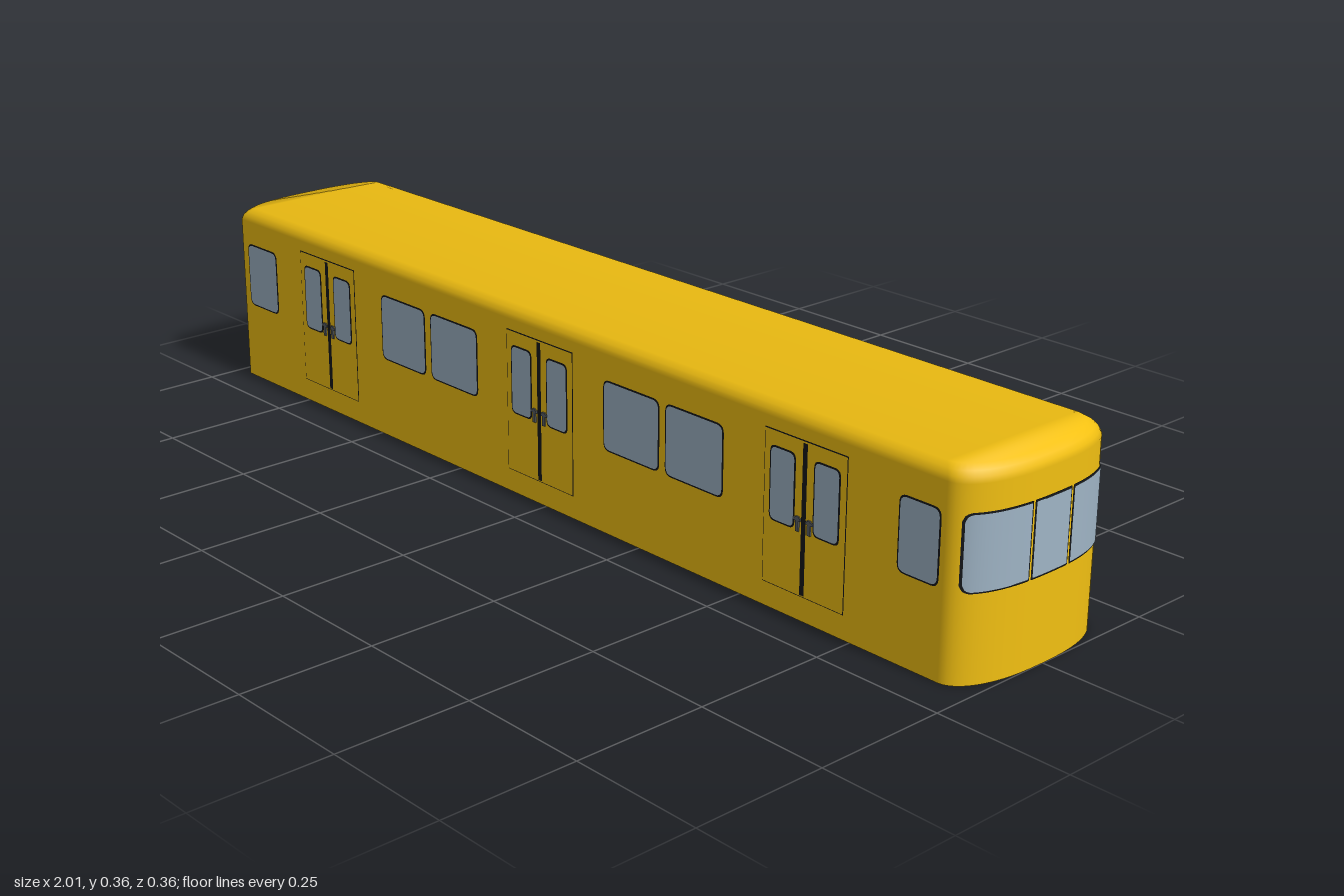
import * as THREE from 'three';

const W = 0.175;           // half width of the car body
const N = 28;              // segments round each end
const POW = 2.5;           // squareness of the end curve
const ENDS = [{ s: 1, d: 0.065 }, { s: -1, d: 0.035 }]; // side and depth of bulge

const mat = (color, side = THREE.FrontSide) =>
  new THREE.MeshStandardMaterial({ color, side });
const YELLOW = mat(0xf2c012), SHELL = mat(0xf2c012, THREE.DoubleSide);
const GLASS = mat(0x9fb4c5), BLACK = mat(0x15171a), STEEL = mat(0x5a6066), FLOOR = mat(0x666666);

// Plan outline, anticlockwise from above, with outward normals
function outline(inset = 0) {
  const pts = [];
  for (const { s, d } of ENDS) {
    for (let i = 0; i <= N; i++) {
      const a = s * (Math.PI / 2 - (Math.PI * i) / N);
      const c = Math.max(0, Math.cos(a)), sn = Math.sin(a);
      const zn = Math.sign(sn) * Math.abs(sn) ** (2 / POW);
      const n = new THREE.Vector2((s * 2 * c) / d, (POW * Math.sign(zn) * Math.abs(zn) ** (POW - 1)) / W).normalize();
      pts.push({ x: s * (1 - d - inset + d * c), z: zn * (W - inset), nx: n.x, nz: n.y });
    }
  }
  return pts;
}

// Walls and rounded roof lofted in one skin: [height, inset, normal tilt]
function bodyGeometry() {
  const rings = [[0, 0, 90], [0.336, 0, 90], [0.345, 0.003, 68], [0.353, 0.009, 48], [0.36, 0.019, 30]];
  const pos = [], nor = [], idx = [], M = 2 * N + 2;
  rings.forEach(([y, inset, tilt], k) => {
    const t = THREE.MathUtils.degToRad(tilt);
    for (const p of outline(inset)) {
      pos.push(p.x, y, p.z);
      nor.push(p.nx * Math.sin(t), Math.cos(t), p.nz * Math.sin(t));
    }
    if (k === 0) return;
    for (let i = 0; i < M; i++) {
      const j = (i + 1) % M, lo = (k - 1) * M, up = k * M;
      idx.push(lo + i, lo + j, up + j, lo + i, up + j, up + i);
    }
  });
  // Roof strips between mirrored outline points
  const top = (rings.length - 1) * M, pairs = [];
  for (let i = N / 2; i >= 0; i--) pairs.push([top + i, top + N - i]);
  for (let i = 0; i <= N / 2; i++) pairs.push([top + M - 1 - i, top + N + 1 + i]);
  for (let i = 0; i + 1 < pairs.length; i++) {
    const [a, b] = pairs[i], [c, d] = pairs[i + 1];
    idx.push(a, b, d, a, d, c);
  }
  const g = new THREE.BufferGeometry();
  g.setAttribute('position', new THREE.Float32BufferAttribute(pos, 3));
  g.setAttribute('normal', new THREE.Float32BufferAttribute(nor, 3));
  g.setIndex(idx);
  return g;
}

function roundedRect(w, h, r) {
  const s = new THREE.Shape(), x = w / 2, y = h / 2;
  s.moveTo(-x + r, -y);
  s.lineTo(x - r, -y); s.quadraticCurveTo(x, -y, x, -y + r);
  s.lineTo(x, y - r); s.quadraticCurveTo(x, y, x - r, y);
  s.lineTo(-x + r, y); s.quadraticCurveTo(-x, y, -x, y - r);
  s.lineTo(-x, -y + r); s.quadraticCurveTo(-x, -y, -x + r, -y);
  return new THREE.ShapeGeometry(s, 5);
}

// Pane bent round an end; r0 and r1 are the corner radii at z0 and z1
function endPane(end, z0, z1, y0, y1, r0, r1, off) {
  const g = new THREE.PlaneGeometry(z1 - z0, y1 - y0, 40, 1);
  g.rotateY((end.s * Math.PI) / 2);
  const p = g.attributes.position;
  const cut = (e, r) => (e < r ? r - Math.sqrt(Math.max(0, r * r - (r - e) ** 2)) : 0);
  for (let i = 0; i < p.count; i++) {
    const z = p.getZ(i) + (z0 + z1) / 2;
    const c = Math.max(cut(Math.max(0, z - z0), r0), cut(Math.max(0, z1 - z), r1));
    const u = end.d * Math.sqrt(Math.max(0, 1 - Math.abs(z / W) ** POW));
    const y = p.getY(i) > 0 ? y1 - c : y0 + c;
    p.setXYZ(i, end.s * (1 - end.d + u + off), y, z);
  }
  g.computeVertexNormals();
  return g;
}

export function createModel() {
  const car = new THREE.Group();
  car.name = 'railCar';
  const add = (parent, name, geo, material) => {
    const m = new THREE.Mesh(geo, material);
    m.name = name;
    parent.add(m);
    return m;
  };

  add(car, 'bodyShell', bodyGeometry(), SHELL);

  // Recessed underside
  const floorShape = new THREE.Shape(outline(0.001).map(p => new THREE.Vector2(p.x, p.z)));
  const floor = add(car, 'floor', new THREE.ShapeGeometry(floorShape), FLOOR);
  floor.rotation.x = Math.PI / 2;
  floor.position.y = 0.02;

  const Y0 = 0.158, Y1 = 0.29;                   // window band
  const windows = [[-0.948, -0.845], [-0.489, -0.35], [-0.334, -0.192],
    [0.158, 0.302], [0.316, 0.458], [0.843, 0.928]];
  const doors = [-0.667, -0.015, 0.644];

  for (const s of [1, -1]) {
    const side = new THREE.Group();
    side.name = s > 0 ? 'frontSide' : 'backSide';
    side.rotation.y = s > 0 ? 0 : Math.PI;
    car.add(side);

    // Flat plate on the side wall, raised by off
    const plate = (name, x0, x1, y0, y1, r, off, material) => {
      const m = add(side, name, roundedRect(x1 - x0, y1 - y0, r), material);
      m.position.set((s * (x0 + x1)) / 2, (y0 + y1) / 2, W + off);
    };
    const pane = (name, x0, x1, r, off) => {
      plate(name + 'Seal', x0, x1, Y0, Y1, r, off, BLACK);
      plate(name + 'Glass', x0 + 0.003, x1 - 0.003, Y0 + 0.003, Y1 - 0.003, r * 0.85, off + 0.0008, GLASS);
    };

    for (const [a, b] of windows) pane('sideWindow', a, b, 0.016, 0.001);

    // Double sliding doors
    for (const x of doors) {
      plate('doorGap', x - 0.0915, x + 0.0915, 0.0435, 0.3165, 0.001, 0.0006, BLACK);
      plate('doorLeaves', x - 0.09, x + 0.09, 0.045, 0.3145, 0.001, 0.0012, YELLOW);
      plate('doorSeal', x - 0.005, x + 0.005, 0.047, 0.312, 0.001, 0.002, BLACK);
      for (const k of [-1, 1]) {
        const c = x + k * 0.049;
        pane('doorWindow', c - 0.029, c + 0.029, 0.013, 0.002);
        const handle = add(side, 'doorHandle', new THREE.BoxGeometry(0.007, 0.026, 0.004), STEEL);
        handle.position.set(s * (x + k * 0.013), 0.17, W + 0.002);
        const grip = add(side, 'doorGrip', new THREE.BoxGeometry(0.016, 0.005, 0.004), STEEL);
        grip.position.set(s * (x + k * 0.014), 0.178, W + 0.002);
      }
    }
  }

  // End windows: [z0, z1, radius at z0, radius at z1]
  const R = 0.014, Q = 0.001;
  const endWindows = [
    [[-0.166, -0.048, R, Q], [-0.0445, 0.0445, Q, Q], [0.048, 0.166, Q, R]],
    [[-0.152, -0.066, R, R], [-0.05, 0.05, R, R], [0.066, 0.152, R, R]],
  ];
  ENDS.forEach((end, k) => {
    for (const [a, b, ra, rb] of endWindows[k]) {
      add(car, 'endWindowSeal', endPane(end, a, b, Y0 - 0.002, Y1, ra, rb, 0.0015), BLACK);
      add(car, 'endWindowGlass',
        endPane(end, a + 0.0025, b - 0.0025, Y0 + 0.001, Y1 - 0.003, ra * 0.85, rb * 0.85, 0.0028), GLASS);
    }
  });

  return car;
}
